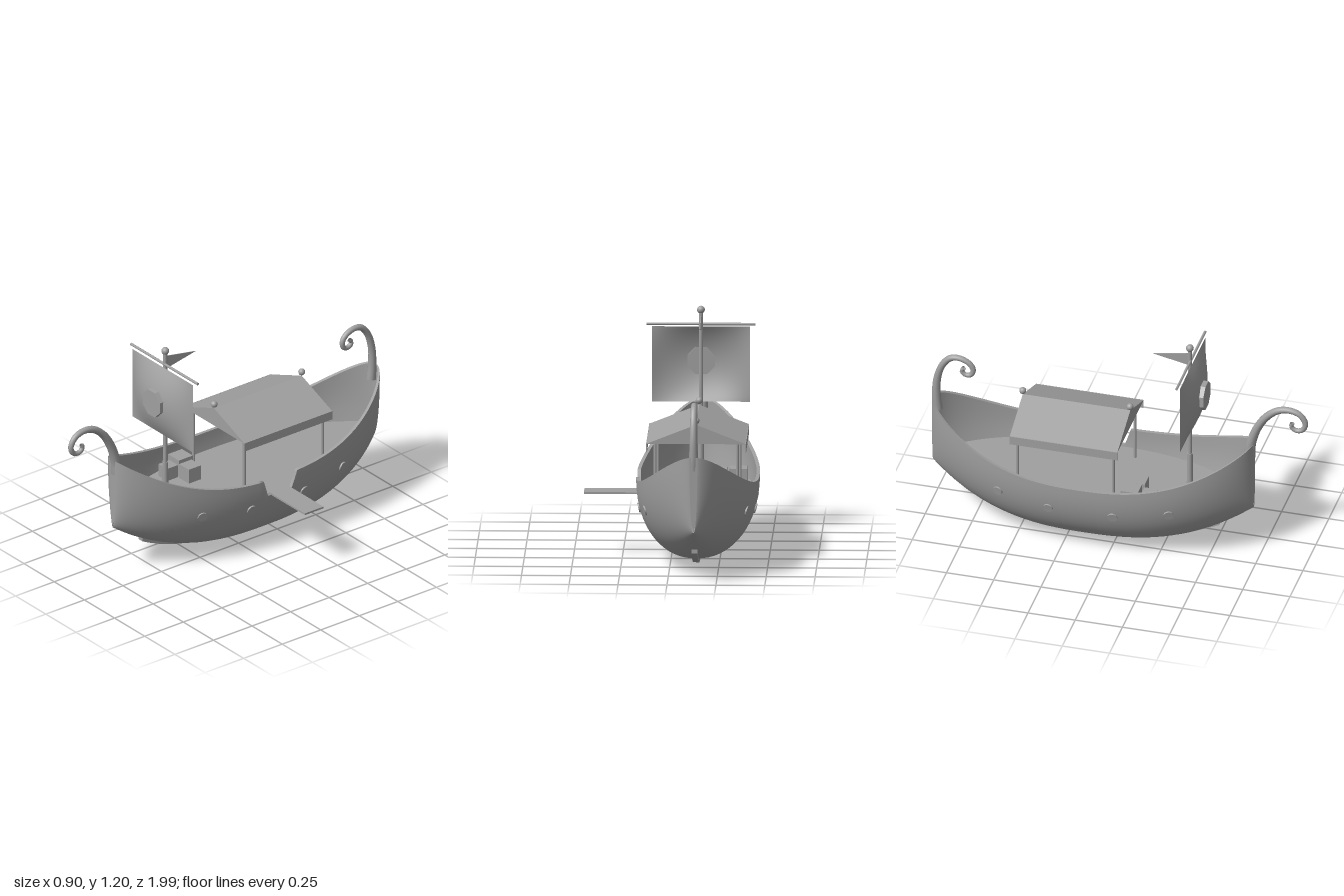
import * as THREE from 'three';
import { toCreasedNormals } from 'three/addons/utils/BufferGeometryUtils.js';

const CX = -0.135, CZ = -0.14, HALF = 0.85, DECK = 0.32;

// Hull lines: plan width, rail height, bottom height, and cross-section
const tOf = z => Math.min(1, Math.abs(z - CZ) / HALF);
const beam = z => 0.02 + 0.295 * Math.pow(1 - Math.pow(tOf(z), 2.4), 0.65);
const sheer = z => 0.42 + 0.24 * Math.pow(tOf(z), 2.5);
const bottom = z => 0.022 + 0.248 * Math.pow(tOf(z), 2.6);
const halfWidth = (z, y) => {
  const v = Math.min(1, Math.max(0, (sheer(z) - y) / (sheer(z) - bottom(z))));
  return beam(z) * Math.pow(1 - Math.pow(v, 2.2), 1 / 2.2);
};
const innerWidth = (z, y) => Math.max(0.002, halfWidth(z, y) - 0.018);

// Rail with the boarding gap on the left side
const rail = (z, side) => {
  if (side < 0) return sheer(z);
  const d = Math.abs(z + 0.1325);
  if (d >= 0.1075) return sheer(z);
  return d <= 0.0775 ? 0.33 : 0.33 + (sheer(z) - 0.33) * (d - 0.0775) / 0.03;
};

// Stations along the hull, closer together at the ends, plus the gap corners
const stations = [-0.24, -0.21, -0.055, -0.025];
for (let i = 0; i <= 56; i++) stations.push(CZ - HALF * Math.cos(Math.PI * i / 56));
stations.sort((a, b) => a - b);

// Surface through a grid of points
function grid(nu, nv, point) {
  const pos = [], index = [];
  for (let i = 0; i <= nu; i++) for (let j = 0; j <= nv; j++) pos.push(...point(i, j));
  for (let i = 0; i < nu; i++) for (let j = 0; j < nv; j++) {
    const a = i * (nv + 1) + j, b = a + nv + 1;
    index.push(a, b, a + 1, b, b + 1, a + 1);
  }
  const g = new THREE.BufferGeometry();
  g.setAttribute('position', new THREE.Float32BufferAttribute(pos, 3));
  g.setIndex(index);
  g.computeVertexNormals();
  return g;
}

// Tapered tube along a path in the z-y plane
function curl(points, r0, r1) {
  const path = new THREE.CatmullRomCurve3(points.map(([z, y]) => new THREE.Vector3(CX, y, z)));
  const n = 48, sides = 10;
  const g = new THREE.TubeGeometry(path, n, 1, sides);
  const p = g.attributes.position, v = new THREE.Vector3();
  for (let i = 0; i <= n; i++) {
    const c = path.getPointAt(i / n);
    const r = r0 + (r1 - r0) * Math.pow(i / n, 0.7);
    for (let j = 0; j <= sides; j++) {
      const k = i * (sides + 1) + j;
      v.fromBufferAttribute(p, k).sub(c).multiplyScalar(r).add(c);
      p.setXYZ(k, v.x, v.y, v.z);
    }
  }
  return g;
}

// Shape drawn in z-y, extruded across x
function sideExtrude(points, depth) {
  const s = new THREE.Shape(points.map(([z, y]) => new THREE.Vector2(z, y)));
  const g = new THREE.ExtrudeGeometry(s, { depth, bevelEnabled: false });
  return g.translate(0, 0, -depth / 2).rotateY(-Math.PI / 2).translate(CX, 0, 0);
}

export function createModel() {
  const model = new THREE.Group();
  const grey = new THREE.MeshStandardMaterial({ color: 0xa0a0a0, side: THREE.DoubleSide });
  grey.name = 'plainGrey';
  const add = (name, geometry, x = 0, y = 0, z = 0) => {
    const m = new THREE.Mesh(geometry, grey);
    m.name = name;
    m.position.set(x, y, z);
    model.add(m);
    return m;
  };
  const box = (name, x0, x1, y0, y1, z0, z1) => add(name,
    new THREE.BoxGeometry(x1 - x0, y1 - y0, z1 - z0), (x0 + x1) / 2, (y0 + y1) / 2, (z0 + z1) / 2);
  const post = (name, r, y0, y1, x, z, rTop = r) => add(name,
    new THREE.CylinderGeometry(rTop, r, y1 - y0, 12), x, (y0 + y1) / 2, z);
  const ball = (name, r, y, z) => add(name, new THREE.SphereGeometry(r, 16, 12), CX, y, z);

  // Hull halves: outer skin, inner bulwark, rail cap
  const nz = stations.length - 1;
  for (const side of [1, -1]) {
    const label = side > 0 ? 'left' : 'right';
    const rows = 18;
    add(label + 'HullSkin', grid(nz, rows, (i, j) => {
      const z = stations[i], top = rail(z, side);
      const y = top - (top - bottom(z)) * Math.sin(j / rows * Math.PI / 2);
      return [CX + side * (j === rows ? 0 : halfWidth(z, y)), y, z];
    }));
    add(label + 'InnerBulwark', grid(nz, 4, (i, j) => {
      const z = stations[i], top = rail(z, side);
      const y = top + (DECK - top) * j / 4;
      return [CX + side * innerWidth(z, y), y, z];
    }));
    add(label + 'RailCap', grid(nz, 1, (i, j) => {
      const z = stations[i], y = rail(z, side);
      return [CX + side * (j ? innerWidth(z, y) : halfWidth(z, y)), y, z];
    }));

    // Portholes set along the skin normal
    for (const [z, y] of [[0.325, 0.31], [0.04, 0.275], [-0.3, 0.275], [-0.575, 0.31]]) {
      const e = 0.01, w = halfWidth(z, y);
      const normal = new THREE.Vector3(side,
        -(halfWidth(z, y + e) - halfWidth(z, y - e)) / (2 * e),
        -(halfWidth(z + e, y) - halfWidth(z - e, y)) / (2 * e)).normalize();
      const hole = add(label + 'Porthole', new THREE.CylinderGeometry(0.026, 0.026, 0.014, 20), CX + side * w, y, z);
      hole.quaternion.setFromUnitVectors(new THREE.Vector3(0, 1, 0), normal);
    }
  }

  // Flat stem and stern faces, deck
  for (const [name, z] of [['stemFace', CZ + HALF], ['sternFace', CZ - HALF]]) {
    add(name, grid(10, 1, (i, j) => {
      const y = sheer(z) + (bottom(z) - sheer(z)) * i / 10;
      return [CX + (j ? 1 : -1) * halfWidth(z, y), y, z];
    }));
  }
  add('deck', grid(nz, 1, (i, j) =>
    [CX + (j ? 1 : -1) * innerWidth(stations[i], DECK), DECK, stations[i]]));

  // Keel following the bottom
  const lower = [], upper = [];
  for (let i = 0; i <= 24; i++) {
    const z = -0.8 + 1.33 * i / 24;
    lower.push([z, bottom(z) - 0.02]);
    upper.unshift([z, bottom(z) + 0.01]);
  }
  add('keel', sideExtrude([...lower, ...upper], 0.03));

  // Curled stem and stern ornaments
  add('bowCurl', curl([[0.685, 0.58], [0.695, 0.66], [0.73, 0.76], [0.78, 0.835], [0.84, 0.88], [0.9, 0.89],
    [0.955, 0.87], [0.982, 0.82], [0.965, 0.782], [0.93, 0.775], [0.907, 0.795], [0.912, 0.815]], 0.03, 0.012));
  add('sternCurl', curl([[-0.965, 0.58], [-0.972, 0.66], [-0.968, 0.76], [-0.94, 0.85], [-0.895, 0.9], [-0.845, 0.905],
    [-0.795, 0.88], [-0.777, 0.845], [-0.79, 0.815], [-0.82, 0.812], [-0.838, 0.835], [-0.825, 0.85]], 0.026, 0.012));

  // Mast, yard, sail, emblem and pennant
  post('mastFoot', 0.017, DECK, 0.54, CX, 0.37, 0.015);
  post('mast', 0.011, 0.5, 1.17, CX, 0.37);
  ball('mastBall', 0.02, 1.18, 0.37);
  add('yard', new THREE.CylinderGeometry(0.007, 0.007, 0.555, 10).rotateZ(Math.PI / 2), CX, 1.105, 0.375);
  add('sail', grid(16, 16, (i, j) => {
    const u = i / 8 - 1, v = j / 8 - 1;
    return [CX + 0.25 * u, 0.895 + 0.195 * v, 0.385 + 0.06 * (1 - u * u) * (1 - v * v)];
  }));
  add('sailEmblem', toCreasedNormals(new THREE.CylinderGeometry(0.076, 0.076, 0.035, 8)
    .rotateY(Math.PI / 8).rotateX(Math.PI / 2), 0.5), CX, 0.905, 0.443);
  add('pennant', sideExtrude([[0.37, 1.15], [0.37, 1.075], [0.175, 1.115]], 0.004));

  // Canopy: gabled roof, hanging side flaps, posts and ridge balls
  const gable = new THREE.Shape([[-0.255, 0.645], [0.255, 0.645], [0, 0.745]].map(p => new THREE.Vector2(...p)));
  add('canopyRoof', new THREE.ExtrudeGeometry(gable, { depth: 0.57, bevelEnabled: false }), CX, 0, -0.515);
  for (const side of [1, -1]) {
    const x = CX + side * 0.253;
    box('canopyFlap', x - 0.002, x + 0.002, 0.6, 0.647, -0.515, 0.055);
    for (const z of [0.022, -0.485]) post('canopyPost', 0.008, DECK, 0.65, CX + side * 0.21, z);
  }
  for (const z of [0.053, -0.515]) ball('ridgeBall', 0.018, 0.767, z);

  // Crates and boarding plank
  box('crate', -0.38, -0.29, DECK, 0.41, 0.07, 0.16);
  box('crate', -0.275, -0.195, DECK, 0.4, 0.09, 0.17);
  box('crate', -0.355, -0.285, DECK, 0.39, 0.17, 0.24);
  box('boardingPlank', 0.15, 0.447, 0.325, 0.335, -0.2, -0.08);

  return model;
}
